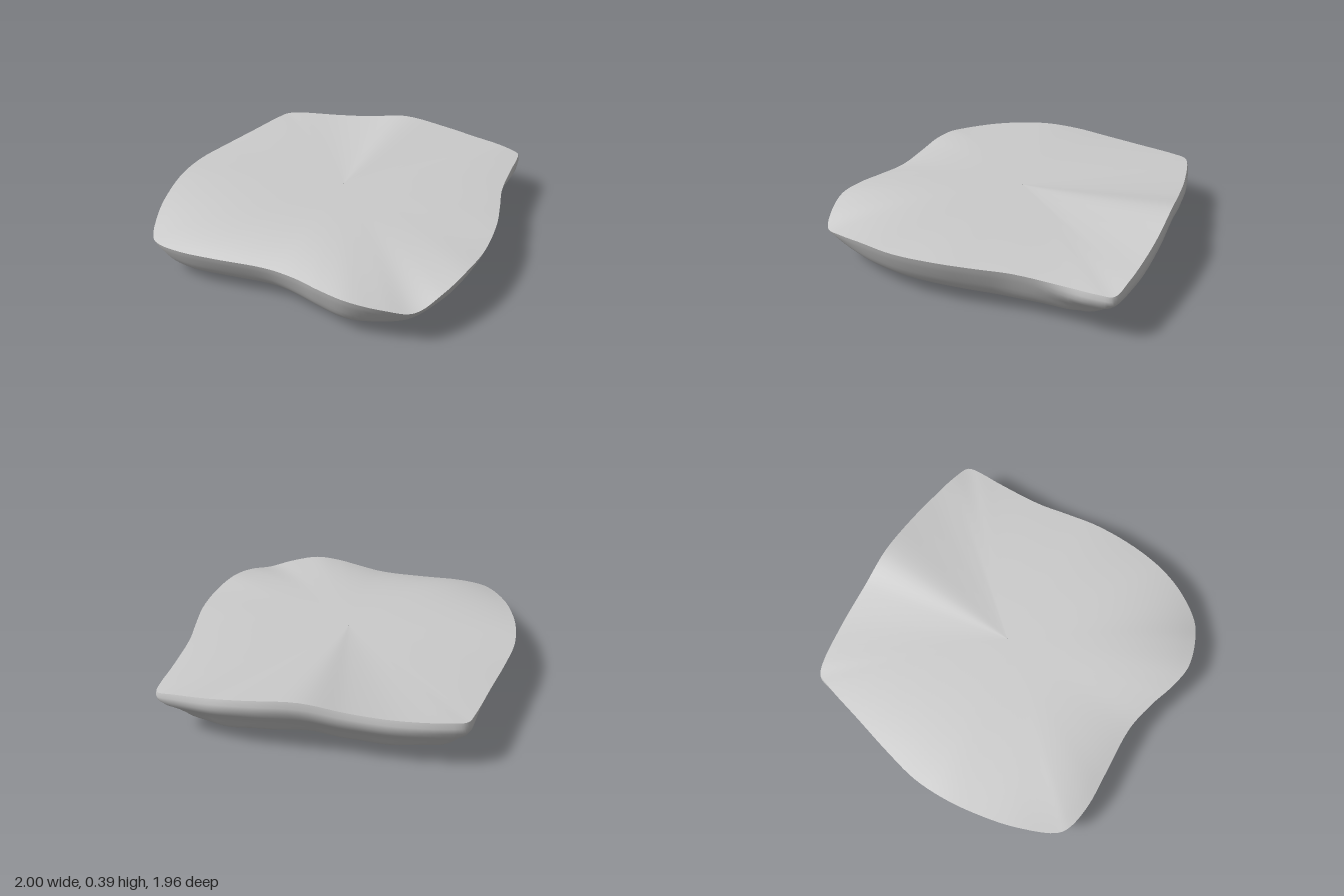
import * as THREE from 'three';

// Rim control points, counterclockwise from above: x, y, z, undercut at the base
const RIM = [
  [-0.75, 0.235, 0.91, 0.15], [-0.68, 0.235, 0.95, 0.14], [-0.52, 0.24, 0.965, 0.13],
  [-0.3, 0.245, 0.94, 0.13], [0, 0.26, 0.905, 0.13], [0.2, 0.275, 0.93, 0.13],
  [0.35, 0.28, 0.965, 0.14], [0.52, 0.275, 0.98, 0.14], [0.7, 0.245, 0.925, 0.15],
  [0.83, 0.22, 0.845, 0.16], [0.92, 0.265, 0.68, 0.15], [0.97, 0.295, 0.5, 0.14],
  [0.995, 0.3, 0.27, 0.14], [0.975, 0.31, 0, 0.14], [0.93, 0.31, -0.2, 0.13],
  [0.88, 0.31, -0.4, 0.12], [0.85, 0.305, -0.7, 0.15], [0.84, 0.305, -0.85, 0.2],
  [0.82, 0.305, -0.93, 0.24], [0.7, 0.325, -0.955, 0.17], [0.5, 0.345, -0.965, 0.13],
  [0.3, 0.37, -0.965, 0.16], [0, 0.4, -0.945, 0.2], [-0.25, 0.36, -0.91, 0.15],
  [-0.5, 0.335, -0.87, 0.13], [-0.78, 0.325, -0.8, 0.18], [-0.85, 0.32, -0.76, 0.2],
  [-0.875, 0.32, -0.68, 0.18], [-0.925, 0.315, -0.4, 0.17], [-0.97, 0.31, -0.15, 0.17],
  [-1, 0.31, 0.08, 0.18], [-0.985, 0.31, 0.3, 0.18], [-0.94, 0.295, 0.5, 0.17],
  [-0.87, 0.27, 0.7, 0.16],
];
// Side profile: drop fraction, undercut fraction
const SIDE = [[0, 0], [0.12, 0.06], [0.25, 0.14], [0.4, 0.25], [0.55, 0.36],
  [0.7, 0.49], [0.82, 0.62], [0.91, 0.75], [0.97, 0.88], [1, 1]];
const N = 170;
const TOP = 0.328;

const bump = (x, z, cx, cz, w) => Math.exp(-((x - cx) ** 2 + (z - cz) ** 2) / w);
const floorY = (x, z) =>
  0.06 - 0.059 * bump(x, z, -0.68, -0.37, 0.055) - 0.03 * bump(x, z, -0.72, 0.55, 0.06);

// Smooth closed rim with the undercut blended between control points
function sampleRim() {
  const curve = new THREE.CatmullRomCurve3(
    RIM.map(([x, y, z]) => new THREE.Vector3(x, y, z)), true, 'centripetal');
  return Array.from({ length: N }, (_, i) => {
    const u = (i / N) * RIM.length, k = Math.floor(u);
    const s = THREE.MathUtils.smoothstep(u - k, 0, 1);
    const cut = THREE.MathUtils.lerp(RIM[k][3], RIM[(k + 1) % RIM.length][3], s);
    return { p: curve.getPoint(i / N), cut };
  });
}

// Joins equal rings of points into one smooth surface
function loft(rings) {
  const index = [];
  for (let r = 0; r < rings.length - 1; r++) {
    for (let i = 0; i < N; i++) {
      const j = (i + 1) % N;
      const a = r * N + i, b = (r + 1) * N + i, c = (r + 1) * N + j, d = r * N + j;
      index.push(a, b, c, a, c, d);
    }
  }
  const geometry = new THREE.BufferGeometry().setFromPoints(rings.flat());
  geometry.setIndex(index);
  geometry.computeVertexNormals();
  return geometry;
}

export function createModel() {
  const rim = sampleRim();
  const material = new THREE.MeshStandardMaterial({ color: 0xcccccc, roughness: 0.8 });

  // Worn upper face: nearly level, rolling off to the low rim and climbing to the high rim
  const topRings = [];
  for (let k = 0; k <= 20; k++) {
    const t = Math.max(k / 20, 0.002);
    topRings.push(rim.map(({ p }) => {
      const rise = p.y - TOP;
      return new THREE.Vector3(p.x * t, TOP + rise * Math.pow(t, rise > 0 ? 1.3 : 4), p.z * t);
    }));
  }

  // Base edge of the stone, lifted slightly at the back and the +x side
  const base = rim.map(({ p, cut }) => {
    const s = 1 - cut / Math.hypot(p.x, p.z);
    const x = p.x * s, z = p.z * s;
    const lift = 0.008 + 0.02 * THREE.MathUtils.smoothstep(Math.max(x, -z), 0.5, 0.85);
    return { x, z, lift, y: floorY(x, z) + lift };
  });

  // Undercut sides with a slight swell along the back
  const bodyRings = SIDE.map(([drop, inset]) => rim.map(({ p }, i) => {
    const b = base[i];
    const swell = 0.035 * THREE.MathUtils.smoothstep(-p.z, 0.5, 0.8)
      * Math.sin(Math.PI * Math.min(drop / 0.6, 1));
    const grow = 1 + swell / Math.hypot(p.x, p.z);
    return new THREE.Vector3(
      THREE.MathUtils.lerp(p.x, b.x, inset) * grow,
      THREE.MathUtils.lerp(p.y, b.y, drop),
      THREE.MathUtils.lerp(p.z, b.z, inset) * grow);
  }));

  // Uneven underside closing at the centre
  for (let k = 1; k <= 20; k++) {
    const t = Math.max(1 - k / 20, 0.002);
    bodyRings.push(base.map(({ x, z, lift }) =>
      new THREE.Vector3(x * t, floorY(x * t, z * t) + lift * t ** 6, z * t)));
  }

  const group = new THREE.Group();
  group.name = 'stoneSlab';
  const parts = { upperFace: topRings, sidesAndUnderside: bodyRings };
  for (const [name, rings] of Object.entries(parts)) {
    const mesh = new THREE.Mesh(loft(rings), material);
    mesh.name = name;
    group.add(mesh);
  }
  return group;
}
